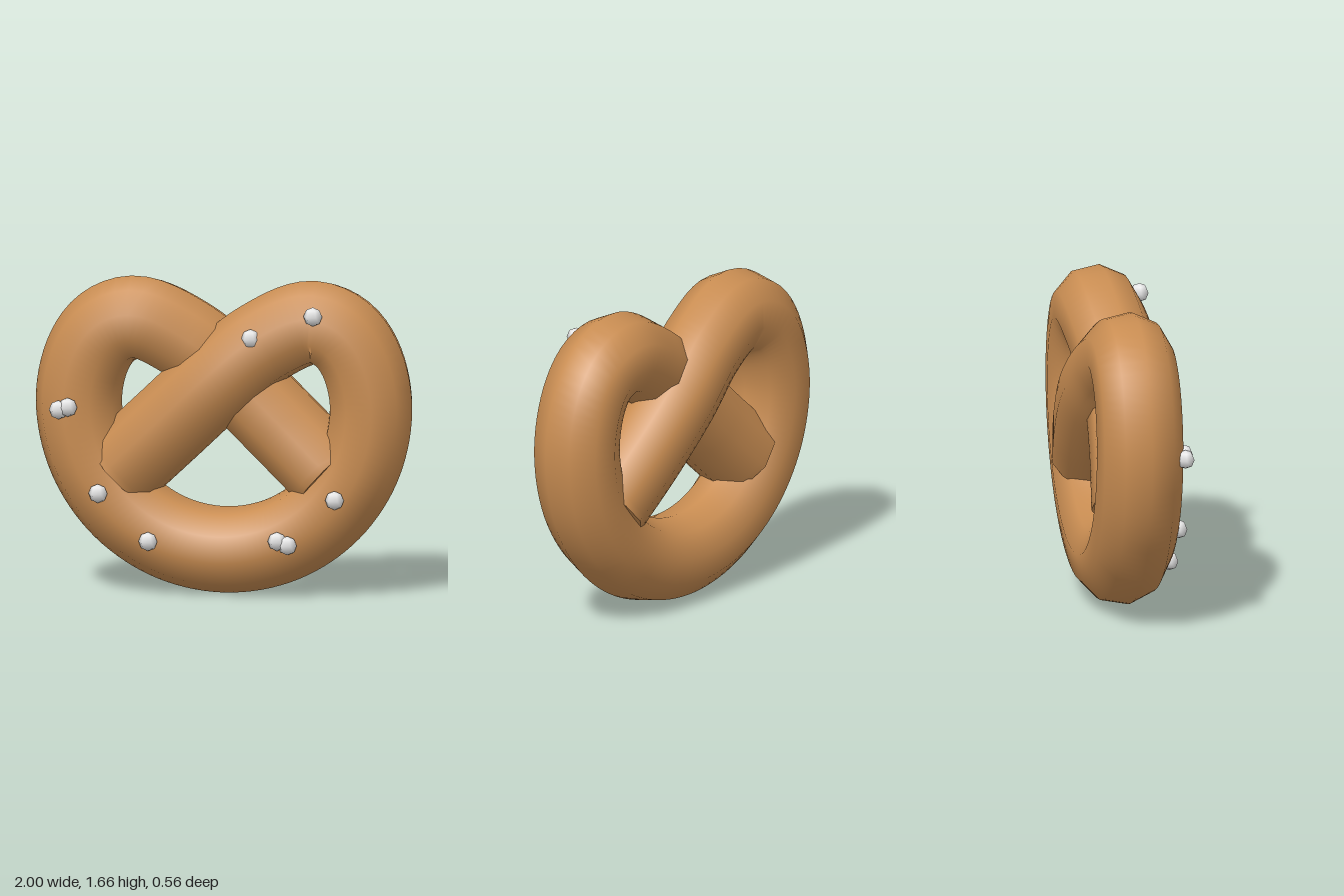
import * as THREE from 'three';

const RADIUS = 0.225, SIDES = 10, STEPS = 160, PHASE = 0.12;

// Half of the rope: from the front end, over the left loop, towards the bottom
const HALF = [
  [-0.55, 0.64, 0.01], [-0.3, 0.875, 0.045], [-0.04, 1.12, 0.06], [0.2, 1.32, 0.03],
  [0.46, 1.435, 0], [0.615, 1.385, 0], [0.72, 1.25, 0], [0.775, 1.0, 0],
  [0.716, 0.703, 0], [0.548, 0.452, 0], [0.297, 0.284, 0],
];

function ropeCurve() {
  const first = HALF.map(([x, y, z]) => new THREE.Vector3(x, y, z));
  const second = HALF.map(([x, y, z]) => new THREE.Vector3(-x, y, -z)).reverse();
  return new THREE.CatmullRomCurve3([...first, new THREE.Vector3(0, 0.225, 0), ...second]);
}

// Cross-section axes that keep one corner towards the outside of the loops
function frameAt(curve, t) {
  const T = curve.getTangentAt(t);
  const N = new THREE.Vector3(-T.y, T.x, 0).normalize();
  const B = new THREE.Vector3().crossVectors(T, N);
  return { P: curve.getPointAt(t), T, N, B };
}

function ropeGeometry(curve) {
  const positions = [], index = [];
  for (let i = 0; i <= STEPS; i++) {
    const { P, N, B } = frameAt(curve, i / STEPS);
    for (let j = 0; j < SIDES; j++) {
      const a = PHASE + (j / SIDES) * Math.PI * 2;
      const v = P.clone()
        .addScaledVector(N, RADIUS * Math.cos(a))
        .addScaledVector(B, RADIUS * Math.sin(a));
      positions.push(v.x, v.y, v.z);
      if (i < STEPS) {
        const k = (j + 1) % SIDES, r = i * SIDES, s = r + SIDES;
        index.push(r + j, r + k, s + j, r + k, s + k, s + j);
      }
    }
  }
  const g = new THREE.BufferGeometry();
  g.setAttribute('position', new THREE.Float32BufferAttribute(positions, 3));
  g.setIndex(index);
  g.computeVertexNormals();
  return g;
}

// Flat disc closing one end of the rope
function endCap(curve, t) {
  const { P, T, N, B } = frameAt(curve, t);
  const s = t === 0 ? -1 : 1;
  const g = new THREE.CircleGeometry(RADIUS, SIDES, s * PHASE);
  const m = new THREE.Matrix4().makeBasis(N, B.multiplyScalar(s), T.multiplyScalar(s)).setPosition(P);
  return g.applyMatrix4(m);
}

export function createModel() {
  const dough = new THREE.MeshStandardMaterial({ color: 0xc98d52 });
  dough.name = 'baked dough';
  const saltWhite = new THREE.MeshStandardMaterial({ color: 0xeeeeee });
  saltWhite.name = 'salt white';

  const model = new THREE.Group();
  model.name = 'pretzel';
  const add = (name, geometry, material) => {
    const mesh = new THREE.Mesh(geometry, material);
    mesh.name = name;
    model.add(mesh);
    return mesh;
  };

  // Twisted dough rope
  const curve = ropeCurve();
  add('doughRope', ropeGeometry(curve), dough);
  add('frontEnd', endCap(curve, 0), dough);
  add('backEnd', endCap(curve, 1), dough);

  // Salt grains on the front
  const grain = new THREE.SphereGeometry(0.05, 6, 4);
  const grains = [
    [0.18, 1.375], [0.51, 1.5], [-0.84, 0.97], [-0.79, 0.985], [-0.63, 0.535],
    [-0.365, 0.29], [0.32, 0.31], [0.375, 0.29], [0.625, 0.535],
  ];
  grains.forEach(([x, y], i) => {
    add('saltGrain' + (i + 1), grain, saltWhite).position.set(x, y, 0.228);
  });
  return model;
}
